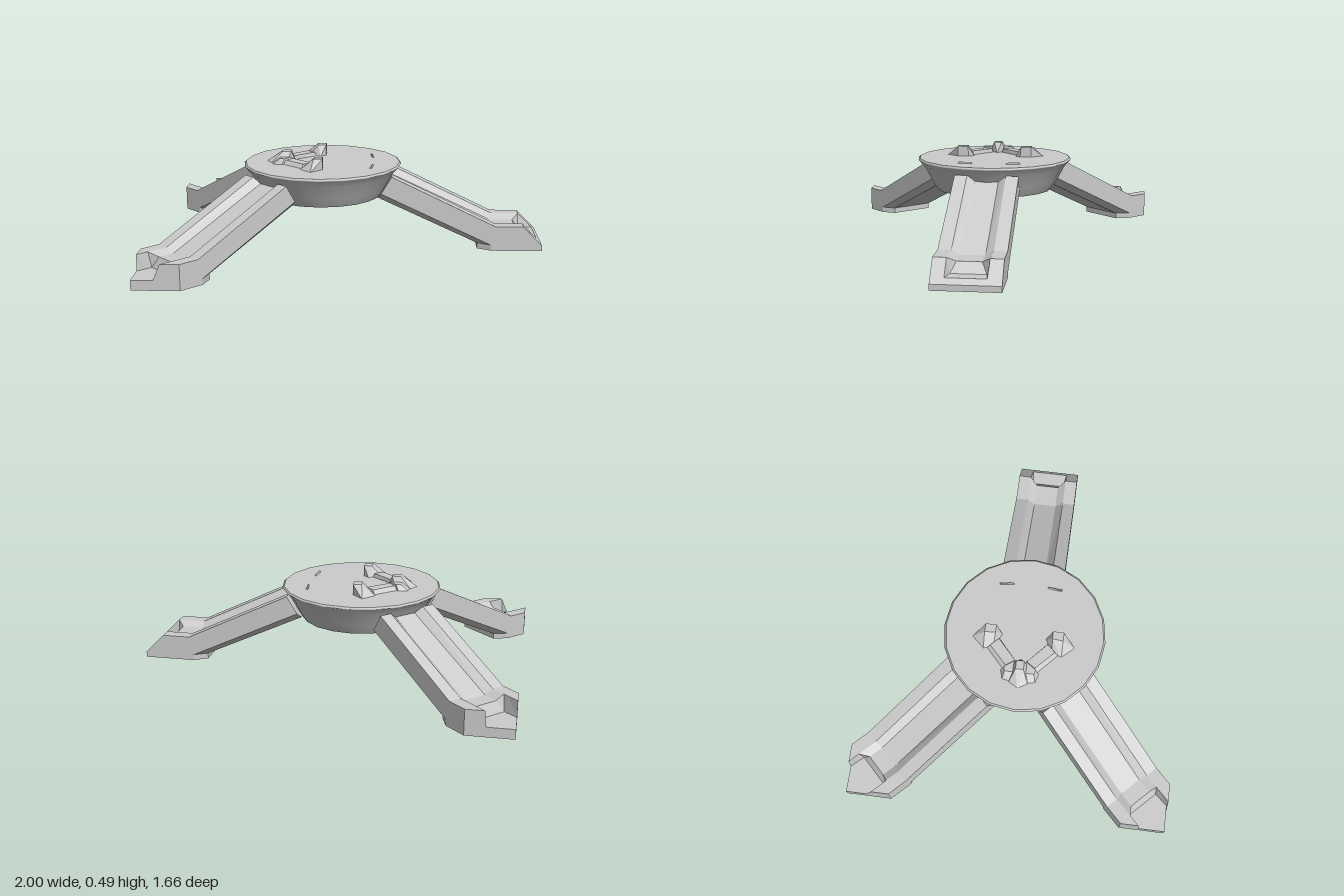
import * as THREE from 'three';
import { ConvexGeometry } from 'three/addons/geometries/ConvexGeometry.js';

const flat = new THREE.MeshStandardMaterial({ color: 0xcccccc, flatShading: true });
const smooth = new THREE.MeshStandardMaterial({ color: 0xcccccc });

function add(parent, name, geometry, material = flat) {
  const mesh = new THREE.Mesh(geometry, material);
  mesh.name = name;
  parent.add(mesh);
  return mesh;
}

// Closed loft through rings of 14 points: 7 along the top, 7 back along the bottom
function loft(rings) {
  const pos = [];
  const n = 14;
  const tri = (a, b, c) => {
    if (a.distanceTo(b) < 1e-5 || b.distanceTo(c) < 1e-5 || a.distanceTo(c) < 1e-5) return;
    for (const p of [a, b, c]) pos.push(p.x, p.y, p.z);
  };
  const quad = (a, b, c, d) => { tri(a, b, c); tri(a, c, d); };
  for (let k = 0; k < rings.length - 1; k++) {
    const r = rings[k], q = rings[k + 1];
    for (let i = 0; i < n; i++) {
      const j = (i + 1) % n;
      quad(r[i], r[j], q[j], q[i]);
    }
  }
  const first = rings[0], last = rings[rings.length - 1];
  for (let i = 0; i < 6; i++) {
    quad(last[i], last[i + 1], last[12 - i], last[13 - i]);
    quad(first[i + 1], first[i], first[13 - i], first[12 - i]);
  }
  const g = new THREE.BufferGeometry();
  g.setAttribute('position', new THREE.Float32BufferAttribute(pos, 3));
  g.computeVertexNormals();
  return g;
}

// Leg section: each argument is [distance, height]; wide is the half width of the channel floor.
// A tip value bends the section into a right-angled point.
function section(edge, rim, floor, sideLow, bottom, wide = 0.06, tip = null) {
  const pt = ([s, y], v) => new THREE.Vector3(tip === null ? s : tip - Math.abs(v), y, v);
  return [
    pt(edge, -0.165), pt(rim, -0.1), pt(floor, -wide), pt(floor, 0),
    pt(floor, wide), pt(rim, 0.1), pt(edge, 0.165),
    pt(sideLow, 0.165), pt(bottom, 0.125), pt(bottom, 0.06), pt(bottom, 0),
    pt(bottom, -0.06), pt(bottom, -0.125), pt(sideLow, -0.165),
  ];
}

function legGeometry(pointed) {
  const top = [0.365, 0.39], bend = [0.905, 0.13], bendFloor = [0.895, 0.105];
  const rings = [
    section(top, top, [0.35, 0.36], [0.31, 0.3], [0.295, 0.27]),
    section(bend, bend, bendFloor, [0.885, 0.03], [0.815, 0.03]),
    section(bend, bend, bendFloor, [0.885, 0], [0.815, 0]),
  ];
  if (pointed) {
    // Toe ending in an upright corner with an open pocket
    const t = [1.012, 0.13], b = [1.012, 0];
    rings.push(
      section([0.98, 0.13], [0.98, 0.13], [0.975, 0.105], [0.98, 0], [0.98, 0]),
      section(t, t, [1.0, 0.05], b, b, 0.09),
      section(t, t, [0, 0.05], b, b, 0.095, 1.177));
  } else {
    // Toe with a sloped front and a pocket cut into it
    const t = [1.05, 0.13], b = [1.05, 0], e = [1.15, 0.03];
    rings.push(
      section(t, t, [1.015, 0.105], b, b),
      section(t, t, [1.05, 0.055], b, b, 0.085),
      section([1.125, 0.055], [1.125, 0.055], [1.125, 0.055], [1.125, 0], [1.125, 0], 0.095),
      section(e, e, e, [1.15, 0], [1.15, 0], 0.095));
  }
  return loft(rings);
}

// Faceted solid from a base outline and a top outline, both [x, z]
function facetBlock(base, baseY, top, topY, mirror = 1) {
  const at = (list, y) => list.map(([x, z]) => new THREE.Vector3(x, y, z * mirror));
  return new ConvexGeometry([...at(base, baseY), ...at(top, topY)]);
}

export function createModel() {
  const model = new THREE.Group();
  model.name = 'threeLeggedStand';

  // Bowl-shaped platform
  const platform = new THREE.Group();
  platform.name = 'platform';
  platform.position.x = -0.15;
  model.add(platform);
  const lathe = (pts) => new THREE.LatheGeometry(pts.map(([r, y]) => new THREE.Vector2(r, y)), 20);
  add(platform, 'bowlWall', lathe([[0.31, 0.265], [0.342, 0.315], [0.378, 0.385], [0.41, 0.422]]), smooth);
  add(platform, 'rim', lathe([[0.41, 0.422], [0.415, 0.428], [0.406, 0.435]]), smooth);
  add(platform, 'topFace', lathe([[0.406, 0.435], [0, 0.435]]), smooth);
  add(platform, 'underside', lathe([[0, 0.265], [0.31, 0.265]]), smooth);

  // Legs
  const front = add(model, 'straightLeg', legGeometry(false));
  front.position.x = -0.15;
  const pointed = legGeometry(true);
  for (const side of [1, -1]) {
    const leg = add(model, side > 0 ? 'rightDiagonalLegBack' : 'rightDiagonalLegFront', pointed);
    leg.position.x = -0.1675;
    leg.rotation.y = side * Math.PI * 0.75;
  }

  // Raised bracket on the platform: centre knob, two arms, two end blocks
  const bracket = new THREE.Group();
  bracket.name = 'bracket';
  model.add(bracket);
  add(bracket, 'centreKnob', facetBlock(
    [[-0.45, 0], [-0.42, -0.05], [-0.34, -0.05], [-0.29, 0], [-0.34, 0.05], [-0.42, 0.05]], 0.43,
    [[-0.36, -0.02], [-0.315, -0.02], [-0.315, 0.02], [-0.36, 0.02]], 0.49));
  for (const m of [1, -1]) {
    add(bracket, 'knobShoulder', facetBlock(
      [[-0.42, -0.03], [-0.41, -0.085], [-0.36, -0.1], [-0.3, -0.03]], 0.43,
      [[-0.37, -0.03], [-0.37, -0.075], [-0.345, -0.08], [-0.31, -0.03]], 0.463, m));
    add(bracket, 'arm', facetBlock(
      [[-0.36, -0.085], [-0.25, -0.185], [-0.19, -0.125], [-0.305, -0.025]], 0.43,
      [[-0.335, -0.075], [-0.24, -0.165], [-0.2, -0.125], [-0.305, -0.03]], 0.455, m));
    add(bracket, 'endBlock', facetBlock(
      [[-0.26, -0.2], [-0.2, -0.265], [-0.14, -0.2], [-0.14, -0.14], [-0.17, -0.11], [-0.24, -0.15]], 0.43,
      [[-0.185, -0.2], [-0.14, -0.2], [-0.14, -0.145], [-0.18, -0.145]], 0.49, m));
    // Small tabs opposite the bracket
    add(model, 'tab', facetBlock(
      [[0.1, -0.165], [0.115, -0.165], [0.122, -0.09], [0.108, -0.085]], 0.43,
      [[0.103, -0.16], [0.11, -0.16], [0.115, -0.092]], 0.443, m));
  }
  return model;
}
